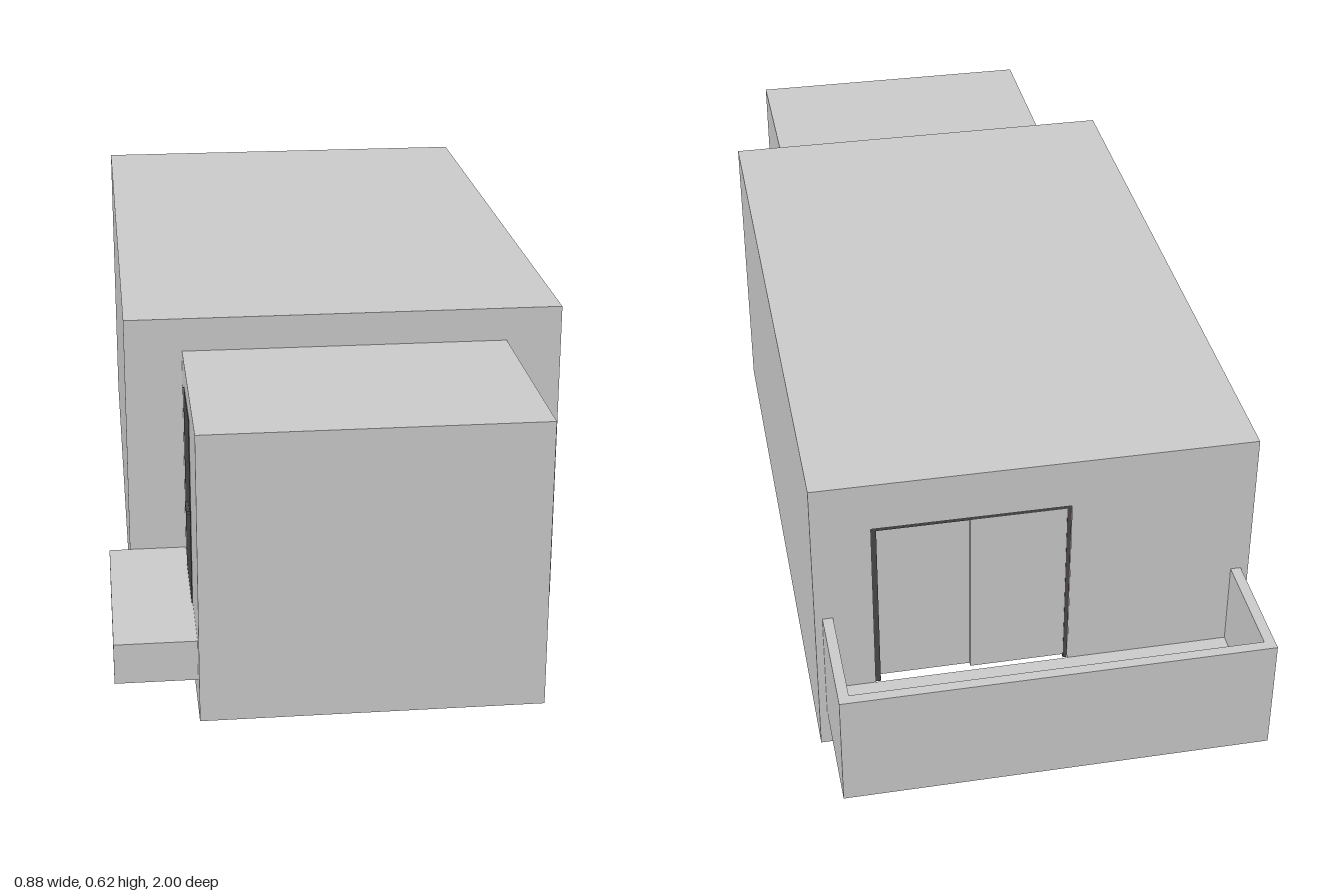
import * as THREE from 'three';

const material = (color) => new THREE.MeshStandardMaterial({ color, side: THREE.DoubleSide });
const GREY = material(0xcccccc);
const DARK = material(0x4a4a4a);
const BROWN = material(0xc19891);

export function createModel() {
  const model = new THREE.Group();

  // Block given by its limits on each axis
  const box = (name, [x0, x1], [y0, y1], [z0, z1], mat = GREY, parent = model) => {
    const mesh = new THREE.Mesh(new THREE.BoxGeometry(x1 - x0, y1 - y0, z1 - z0), mat);
    mesh.position.set((x0 + x1) / 2, (y0 + y1) / 2, (z0 + z1) / 2);
    mesh.name = name;
    parent.add(mesh);
    return mesh;
  };

  // Thin upright wall from a to b, with an optional opening that reaches the ground
  const wall = (name, axis, at, [a, b], height, opening, parent) => {
    const pts = [[a, 0], [a, height], [b, height], [b, 0]];
    if (opening) {
      const [o0, o1, top] = opening;
      pts.push([o1, 0], [o1, top], [o0, top], [o0, 0]);
    }
    const geo = new THREE.ShapeGeometry(new THREE.Shape(pts.map((p) => new THREE.Vector2(...p))));
    if (axis === 'x') geo.rotateY(-Math.PI / 2).translate(at, 0, 0);
    else geo.translate(0, 0, at);
    const mesh = new THREE.Mesh(geo, GREY);
    mesh.name = name;
    parent.add(mesh);
  };

  const roof = (name, [x0, x1], y, [z0, z1], parent) => {
    const geo = new THREE.PlaneGeometry(x1 - x0, z1 - z0).rotateX(-Math.PI / 2);
    geo.translate((x0 + x1) / 2, y, (z0 + z1) / 2);
    const mesh = new THREE.Mesh(geo, GREY);
    mesh.name = name;
    parent.add(mesh);
  };

  const group = (name) => {
    const g = new THREE.Group();
    g.name = name;
    model.add(g);
    return g;
  };

  // Main room shell, open underneath
  const main = group('mainRoom');
  const mx = [-0.405, 0.44], mz = [-0.765, 0.56], mh = 0.615;
  wall('rightWall', 'x', mx[0], mz, mh, null, main);
  wall('leftWall', 'x', mx[1], mz, mh, null, main);
  wall('backWall', 'z', mz[0], mx, mh, [-0.05, 0.328, 0.515], main);
  wall('frontWall', 'z', mz[1], mx, mh, [-0.295, 0.333, 0.55], main);
  roof('mainRoof', mx, mh, mz, main);

  // Entrance wing shell
  const wing = group('entranceWing');
  const wx = [-0.295, 0.333], wz = [0.56, 1], wh = 0.55;
  wall('wingRightWall', 'x', wx[0], wz, wh, [0.635, 0.81, 0.505], wing);
  wall('wingLeftWall', 'x', wx[1], wz, wh, null, wing);
  wall('wingFrontWall', 'z', wz[1], wx, wh, null, wing);
  roof('wingRoof', wx, wh, wz, wing);

  // Raised floors, set in from the shell, with a lower entry floor
  const floors = group('floors');
  box('mainFloor', [-0.365, 0.4], [0.148, 0.157], [-0.725, 0.55], BROWN, floors);
  box('wingFloor', [-0.1, 0.293], [0.148, 0.157], [0.56, 0.96], BROWN, floors);
  box('entryFloor', [-0.285, -0.1], [0.14, 0.147], [0.57, 0.96], GREY, floors);
  for (const x of [[-0.285, -0.08], [0.11, 0.293]])
    box('partition', x, [0.143, 0.54], [0.55, 0.562], GREY, floors);

  // Entrance door, handle and outside step
  const door = group('entranceDoor');
  box('doorPanel', [-0.297, -0.285], [0.14, 0.505], [0.635, 0.81], DARK, door);
  box('doorHandle', [-0.303, -0.297], [0.311, 0.318], [0.74, 0.79], DARK, door);
  box('step', [-0.445, -0.295], [0.065, 0.142], [0.56, 0.965]);

  // Sliding balcony door: two panels in a dark recessed frame
  const slider = group('slidingDoor');
  box('slidingPanelLeft', [0.138, 0.32], [0.148, 0.508], [-0.753, -0.745], GREY, slider);
  box('slidingPanelRight', [-0.042, 0.142], [0.148, 0.508], [-0.762, -0.753], GREY, slider);
  for (const x of [[-0.05, -0.042], [0.318, 0.328]])
    box('frameJamb', x, [0.14, 0.515], [-0.763, -0.735], DARK, slider);
  box('frameHead', [-0.05, 0.328], [0.508, 0.515], [-0.763, -0.735], DARK, slider);

  // Balcony: floor inside a parapet
  const balcony = group('balcony');
  const by = [0.08, 0.315];
  box('balconyFloor', [-0.37, 0.405], [0.125, 0.14], [-0.98, -0.765], GREY, balcony);
  box('backParapet', [-0.39, 0.425], by, [-1, -0.98], GREY, balcony);
  for (const x of [[-0.39, -0.37], [0.405, 0.425]])
    box('sideParapet', x, by, [-0.98, -0.765], GREY, balcony);

  return model;
}
